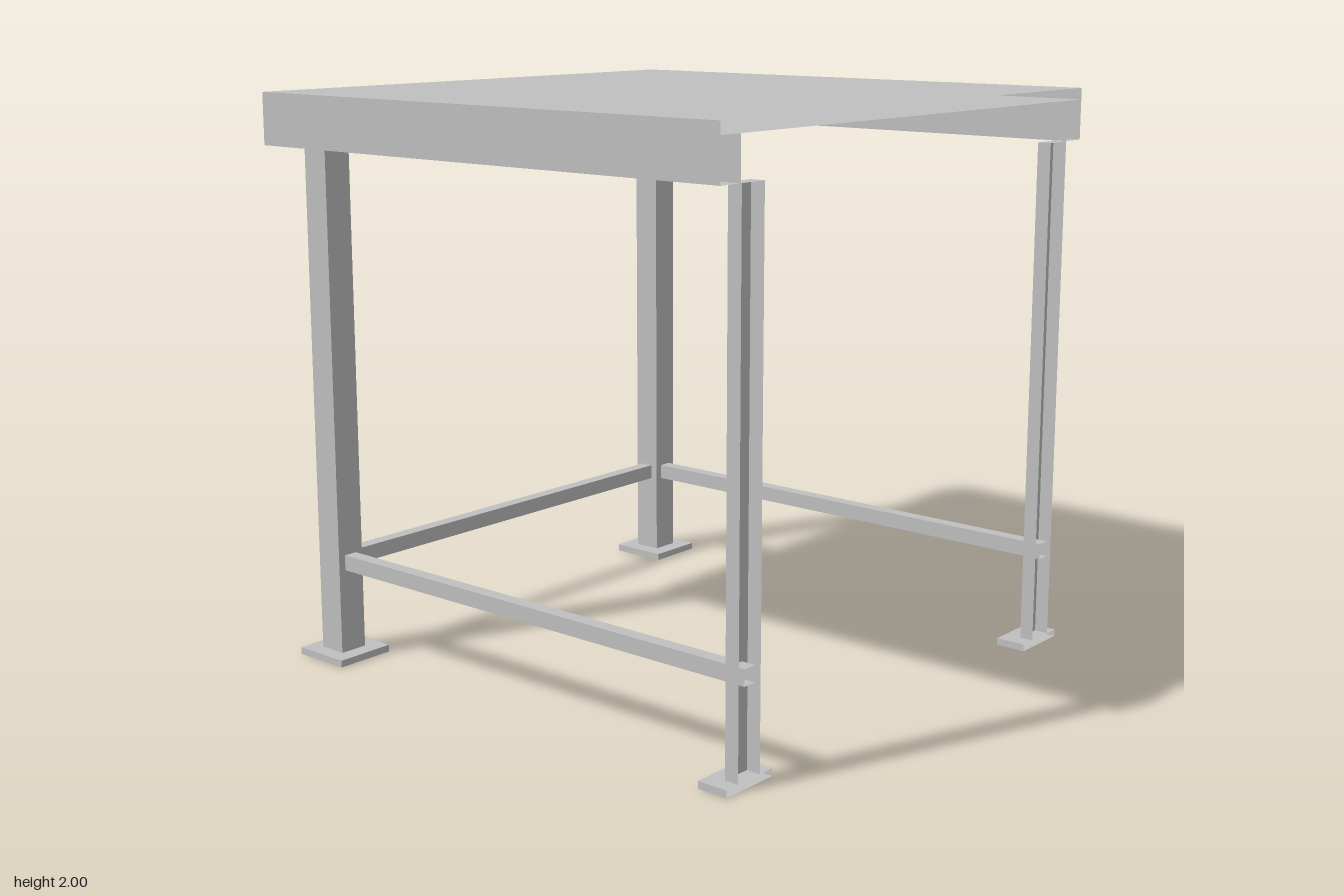
import * as THREE from 'three';

const steel = new THREE.MeshStandardMaterial({ color: 0xc0c0c0, side: THREE.DoubleSide });
steel.name = 'grey steel';

// Box faces in BoxGeometry order
const PX = 0, NX = 1, PY = 2;

// Thin-walled box between two corners, leaving out the listed faces
function shell(name, [x0, y0, z0], [x1, y1, z1], open = [], reshape) {
  const geo = new THREE.BoxGeometry(x1 - x0, y1 - y0, z1 - z0);
  geo.translate((x0 + x1) / 2, (y0 + y1) / 2, (z0 + z1) / 2);
  const index = Array.from(geo.index.array);
  geo.setIndex(index.filter((_, i) => !open.includes(Math.floor(i / 6))));
  geo.clearGroups();
  if (reshape) {
    const p = geo.attributes.position;
    const v = new THREE.Vector3();
    for (let i = 0; i < p.count; i++) {
      reshape(v.fromBufferAttribute(p, i));
      p.setXYZ(i, v.x, v.y, v.z);
    }
    geo.computeVertexNormals();
  }
  const mesh = new THREE.Mesh(geo, steel);
  mesh.name = name;
  return mesh;
}

export function createModel() {
  const model = new THREE.Group();
  model.name = 'workTable';

  const IN = 0.91;                       // inner face of the aprons
  const TOP = 1.96, UNDER = 1.82;        // apron top and bottom
  const FOOT = 0.025;                    // foot plate thickness
  const BAR = [0.325, 0.38];             // stretcher bottom and top
  const B0 = 0.828, B1 = 0.878;          // stretcher inner and outer faces
  const L0 = 0.8, L1 = 0.905;            // leg inner and outer faces

  // Hollow table top, cut open on the +x side
  model.add(shell('tableTop', [-1, TOP, -1], [1, 2, 1], [PX]));

  // Left-hand apron with mitred ends
  model.add(shell('sideApron', [-1, UNDER, -1], [-IN, TOP, 1], [PY],
    v => { if (v.x > -0.95) v.z *= IN; }));

  // Left-hand stretcher between the full legs
  model.add(shell('sideStretcher', [-B1, BAR[0], -L0], [-B0, BAR[1], L0]));

  for (const s of [1, -1]) {
    const end = s > 0 ? 'front' : 'back';
    const span = (a, b) => (s > 0 ? [a, b] : [-b, -a]);
    const [a0, a1] = span(IN, 1);
    const [l0, l1] = span(L0, L1);
    const [f0, f1] = span(0.74, 0.96);
    const [b0, b1] = span(B0, B1);

    // Apron, mitred at one end and cut open at the other
    model.add(shell(end + 'Apron', [-1, UNDER, a0], [1, TOP, a1], [PX, NX, PY],
      v => { if (v.x < -0.95 && Math.abs(v.z) < 0.95) v.x = -IN; }));

    // Full square leg and its foot plate
    model.add(shell(end + 'Leg', [-L1, FOOT, l0], [-L0, UNDER, l1]));
    model.add(shell(end + 'Foot', [-0.96, 0, f0], [-0.74, FOOT, f1]));

    // Half leg and half foot, open along the cut
    model.add(shell(end + 'HalfLeg', [0.95, FOOT, l0], [1, UNDER, l1], [PX]));
    model.add(shell(end + 'HalfFoot', [0.89, 0, f0], [1, FOOT, f1], [PX]));

    // Stretcher running through to the cut
    model.add(shell(end + 'Stretcher', [-L0, BAR[0], b0], [1, BAR[1], b1], [PX]));
  }
  return model;
}
